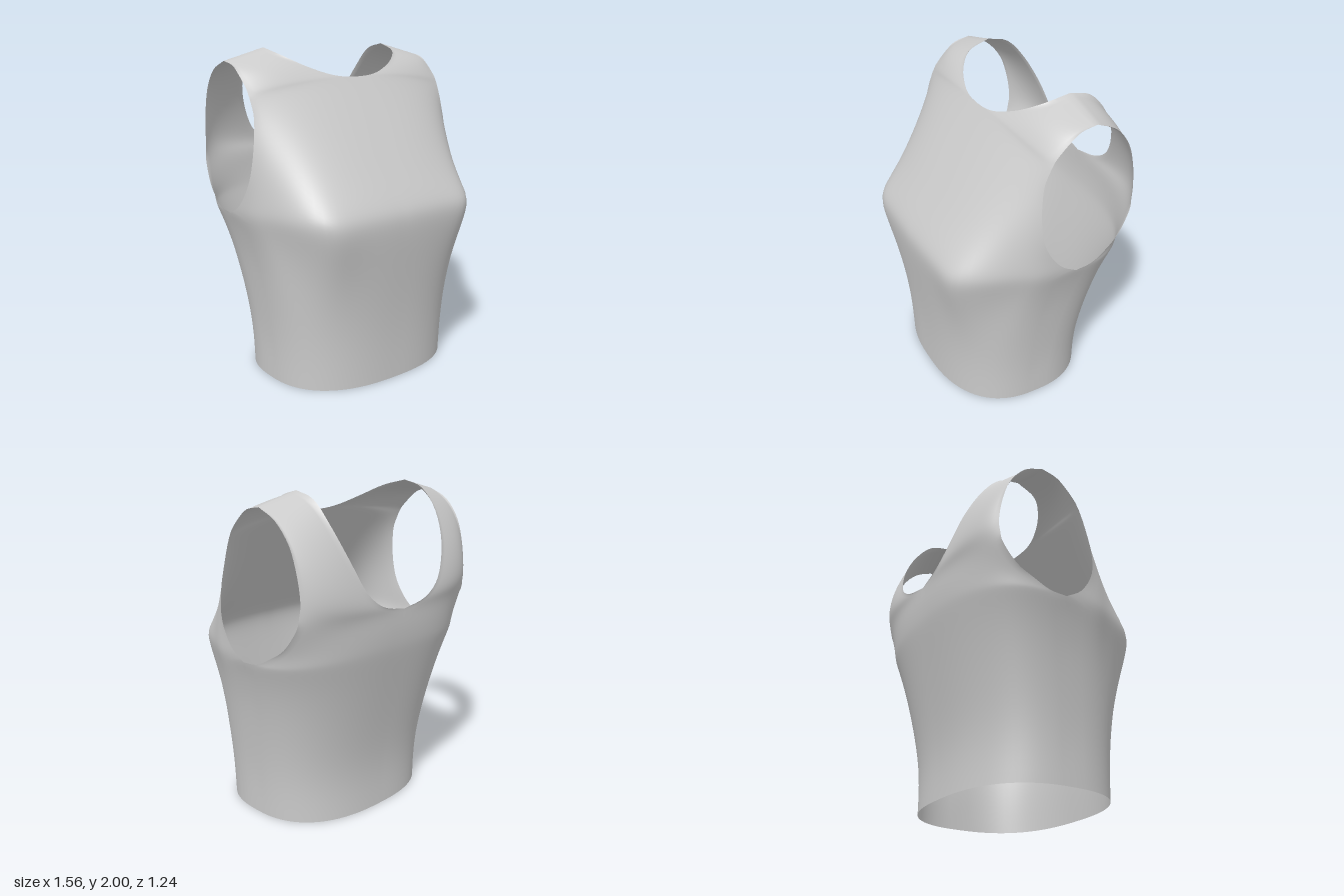
import * as THREE from 'three';
import { mergeGeometries, mergeVertices } from 'three/addons/utils/BufferGeometryUtils.js';

const COLS = 22, STEPS = 4, ARMPIT = 5, RELAX = 8;

// Rows of [inner point, outer point]: the inner path climbs the centre line and then
// the neckline; the outer path climbs the side seam and then the armhole.
const side = [[.62, 0, .04], [.627, .25, .03], [.655, .5, .01], [.695, .75, -.03], [.74, .93, -.06], [.78, 1.05, -.09]];
const front = {
  corner: 10, // row where the centre line meets the neckline
  bust: .08,
  inner: [[0, 0, .53], [0, .25, .535], [0, .5, .555], [0, .75, .588], [0, .93, .612], [0, 1.05, .618],
    [0, 1.13, .585], [0, 1.28, .485], [0, 1.45, .375], [0, 1.66, .235], [0, 1.825, .125],
    [.1, 1.83, .121], [.2, 1.85, .1], [.33, 1.9, .045], [.43, 1.96, -.05], [.46, 2, -.2]],
  outer: [...side, [.78, 1.12, .02], [.77, 1.26, .11], [.75, 1.43, .135], [.725, 1.62, .115], [.725, 1.72, .08],
    [.726, 1.755, .062], [.727, 1.79, .04], [.73, 1.86, -.03], [.73, 1.91, -.1], [.73, 1.93, -.2]],
};
const back = {
  corner: 9,
  bust: 0,
  inner: [[0, 0, -.45], [0, .25, -.44], [0, .5, -.475], [0, .75, -.525], [0, .93, -.565], [0, 1.05, -.592],
    [0, 1.11, -.602], [0, 1.17, -.608], [0, 1.24, -.612], [0, 1.32, -.612],
    [.18, 1.36, -.62], [.31, 1.46, -.608], [.4, 1.65, -.555], [.45, 1.83, -.46], [.46, 1.96, -.34], [.46, 2, -.2]],
  outer: [...side, [.775, 1.06, -.2], [.765, 1.11, -.3], [.745, 1.18, -.4], [.725, 1.3, -.48],
    [.715, 1.38, -.495], [.71, 1.46, -.5], [.715, 1.6, -.48], [.722, 1.75, -.43], [.73, 1.87, -.33], [.73, 1.93, -.2]],
};

// Smooth path through points with one sharp corner at index `split`
function path(points, split) {
  const curve = (pts) => new THREE.CatmullRomCurve3(pts.map((p) => new THREE.Vector3(...p)), false, 'catmullrom', 0.5);
  const low = curve(points.slice(0, split + 1));
  const high = curve(points.slice(split));
  const last = points.length - 1;
  return (k) => (k <= split ? low.getPoint(k / split) : high.getPoint((k - split) / (last - split)));
}

// Rounded rows swept from the centre to the side, as a grid of points
function rowGrid(panel) {
  const inner = path(panel.inner, panel.corner);
  const outer = path(panel.outer, ARMPIT);
  const last = panel.inner.length - 1;
  const grid = [];
  for (let j = 0; j <= last * STEPS; j++) {
    const k = j / STEPS, I = inner(k), E = outer(k), row = [];
    const n = 2.5 + 0.3 * Math.min(1, k / ARMPIT);
    // The row is a superellipse arc, cut short where the armhole opens
    const mid = k <= ARMPIT ? E.z : THREE.MathUtils.lerp(-.09, -.2, (k - ARMPIT) / (last - ARMPIT));
    const depth = I.z - mid;
    const ratio = Math.abs(depth) < 1e-4 ? .85 : THREE.MathUtils.clamp((E.z - mid) / depth, 0, .85);
    const A = Math.acos(Math.pow(ratio, n / 2));
    const sinEnd = Math.pow(Math.sin(A), 2 / n);
    const bust = panel.bust * Math.exp(-(((I.y - 1) / .3) ** 2));
    for (let i = 0; i <= COLS; i++) {
      const a = A * Math.pow(i / COLS, 1.2);
      const u = Math.pow(Math.sin(a), 2 / n) / sinEnd;
      const h = i === COLS ? 0 : (Math.pow(Math.cos(a), 2 / n) - ratio) / (1 - ratio)
        + bust * Math.sin(2 * Math.PI * Math.pow(u, 3.7));
      const yBlend = Math.pow(u, 2 - I.x / .46);
      row.push(new THREE.Vector3(I.x + (E.x - I.x) * u, I.y + (E.y - I.y) * yBlend, E.z + (I.z - E.z) * h));
    }
    grid.push(row);
  }
  return grid;
}

// Soften the cloth along each column, keeping hem, neckline, armhole and seams in place
function relax(grid, cornerRow) {
  for (let pass = 0; pass < RELAX; pass++) {
    const old = grid.map((row) => row.map((p) => p.clone()));
    for (let j = 1; j < grid.length - 1; j++) {
      for (let i = j < cornerRow ? 0 : 1; i < COLS; i++) {
        grid[j][i].copy(old[j - 1][i]).add(old[j + 1][i]).multiplyScalar(.25).addScaledVector(old[j][i], .5);
      }
    }
  }
  return grid;
}

// One quarter of the garment, on the +x or -x side
function quarter(grid, sx, flip) {
  const pos = grid.flat().flatMap((p) => [sx * p.x, p.y, p.z]);
  const index = [], w = COLS + 1;
  for (let j = 0; j < grid.length - 1; j++) {
    for (let i = 0; i < COLS; i++) {
      const a = j * w + i, b = a + 1, c = b + w, d = a + w;
      if (flip) index.push(a, c, b, a, d, c);
      else index.push(a, b, c, a, c, d);
    }
  }
  const g = new THREE.BufferGeometry();
  g.setAttribute('position', new THREE.Float32BufferAttribute(pos, 3));
  g.setIndex(index);
  return g;
}

export function createModel() {
  const group = new THREE.Group();
  group.name = 'sleevelessTop';
  // Four quarters welded along centre lines, side seams and shoulder seams
  const [frontGrid, backGrid] = [front, back].map((p) => relax(rowGrid(p), p.corner * STEPS));
  const quarters = [quarter(frontGrid, 1, false), quarter(frontGrid, -1, true), quarter(backGrid, 1, true), quarter(backGrid, -1, false)];
  const geometry = mergeVertices(mergeGeometries(quarters), 1e-4);
  geometry.computeVertexNormals();
  const cloth = new THREE.MeshStandardMaterial({ color: 0xcccccc, side: THREE.DoubleSide });
  const bodice = new THREE.Mesh(geometry, cloth);
  bodice.name = 'bodice';
  group.add(bodice);
  return group;
}
